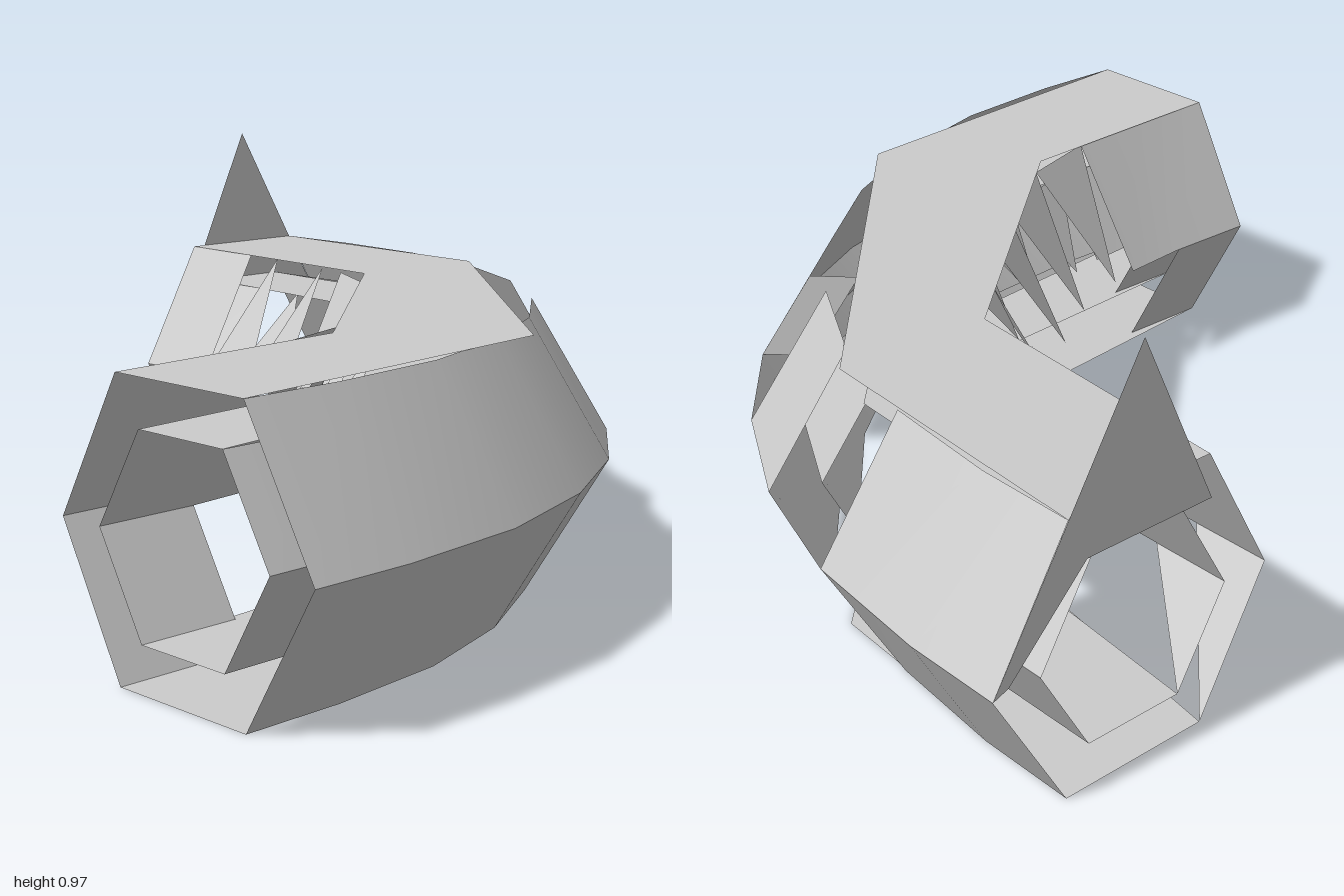
import * as THREE from 'three';

// Hexagonal cross-section of each shell: bend radii and heights
const OUTER = { name: 'outerShell', far: 1.75, farRim: 1.56, nearRim: 1.18, near: 1.0, top: 0.65, bottom: 0 };
const LINING = { name: 'lining', far: 1.629, farRim: 1.5, nearRim: 1.25, near: 1.121, top: 0.545, bottom: 0.105 };
const MID = 0.325, CENTRE = -0.75;

// Point on the bend: 1 to 9 turn through 90 degrees, 0 and 10 end the straight runs
function at(i, r, y) {
  if (i < 1) return [CENTRE - 0.25 * (1 - i), y, r + CENTRE];
  if (i > 9) return [r + CENTRE, y, CENTRE - 0.25 * (i - 9)];
  const a = THREE.MathUtils.degToRad(90 - (i - 1) * 11.25);
  return [r * Math.cos(a) + CENTRE, y, r * Math.sin(a) + CENTRE];
}

export function createModel() {
  const group = new THREE.Group();
  const mat = new THREE.MeshStandardMaterial({ color: 0xcccccc, side: THREE.DoubleSide });

  function add(name, points, index) {
    const g = new THREE.BufferGeometry();
    g.setAttribute('position', new THREE.Float32BufferAttribute(points.flat(), 3));
    g.setIndex(index);
    g.computeVertexNormals();
    const mesh = new THREE.Mesh(g, mat);
    mesh.name = name;
    group.add(mesh);
  }

  // Quad strip between two lists of points
  function strip(name, a, b) {
    const points = [], index = [];
    a.forEach((p, i) => {
      points.push(p, b[i]);
      if (i) {
        const k = 2 * i;
        index.push(k - 2, k - 1, k, k, k - 1, k + 1);
      }
    });
    add(name, points, index);
  }

  // Sloping wall from station i0 to i1
  function wall(name, i0, i1, r0, y0, r1, y1) {
    const a = [], b = [];
    for (let i = i0; i <= i1; i++) {
      a.push(at(i, r0, y0));
      b.push(at(i, r1, y1));
    }
    strip(name, a, b);
  }

  // Both shells share the same openings
  for (const s of [OUTER, LINING]) {
    // Far side: whole lower wall, upper wall broken by two openings
    wall(s.name + 'LowerFarWall', 0, 10, s.far, MID, s.farRim, s.bottom);
    for (const [i0, i1] of [[0, 5], [6, 7], [8, 10]])
      wall(s.name + 'UpperFarPanel', i0, i1, s.farRim, s.top, s.far, MID);

    // Near side: panels remain only close to the two ends
    wall(s.name + 'UpperNearPanel', 0, 2, s.near, MID, s.nearRim, s.top);
    wall(s.name + 'UpperNearPanel', 9, 10, s.near, MID, s.nearRim, s.top);
    wall(s.name + 'LowerNearPanel', 0, 1, s.nearRim, s.bottom, s.near, MID);
    add(s.name + 'LowerNearShard',
      [at(10, s.nearRim, s.bottom), at(10, s.near, MID), at(9.2, s.near, MID)], [0, 1, 2]);

    // Jagged shards: some hang from the roof, some stand on the middle edge
    for (const i of [2, 3, 4, 6])
      add(s.name + 'HangingShard',
        [at(i, s.nearRim, s.top), at(i + 0.45, s.near, MID), at(i + 1, s.nearRim, s.top)], [0, 1, 2]);
    for (const i of [7, 8])
      add(s.name + 'StandingShard',
        [at(i, s.near, MID), at(i + 1, s.near, MID), at(i + 0.5, s.nearRim, s.top)], [0, 1, 2]);
  }
  add('middleShard',
    [at(5, LINING.nearRim, LINING.top), at(5.5, LINING.near, MID), at(6, LINING.nearRim, LINING.top)], [0, 1, 2]);

  // Flat roof, floor and their linings, each in three straight runs
  const flat = (name, y, outer, inner) =>
    strip(name, outer.map(([x, z]) => [x, y, z]), inner.map(([x, z]) => [x, y, z]));
  flat('roof', OUTER.top,
    [[-1, 0.81], [-0.07, 0.72], [0.76, -0.22], [0.81, -1]],
    [[-1, 0.43], [-0.36, 0.39], [0.37, -0.24], [0.43, -1]]);
  flat('floor', OUTER.bottom,
    [[-1, 0.81], [-0.15, 0.69], [0.76, -0.22], [0.81, -1]],
    [[-1, 0.43], [-0.25, 0.35], [0.28, -0.04], [0.43, -1]]);
  for (const s of [['ceilingLining', LINING.top], ['floorLining', LINING.bottom]])
    flat(...s,
      [[-1, 0.75], [-0.12, 0.65], [0.7, -0.22], [0.75, -1]],
      [[-1, 0.5], [-0.33, 0.45], [0.42, -0.2], [0.5, -1]]);

  // Wall thickness showing at the edges of the first opening
  add('openingEdge', [at(5, OUTER.far, MID), at(5, 1.621, LINING.top),
    at(5, LINING.farRim, LINING.top), at(5, LINING.far, MID)], [0, 1, 2, 0, 2, 3]);
  add('openingEdgeShard', [at(6, LINING.farRim, LINING.top), at(6, LINING.far, MID), at(6, 1.69, 0.43)], [0, 1, 2]);

  // Upright splinter across the end
  const outline = new THREE.Shape([[0.62, 0.97], [0.42, 0.545], [0.76, 0.545], [0.96, 0.34], [1, MID]]
    .map(([x, y]) => new THREE.Vector2(x, y)));
  const spike = new THREE.Mesh(new THREE.ShapeGeometry(outline), mat);
  spike.name = 'endSpike';
  spike.position.z = -1;
  group.add(spike);

  return group;
}
